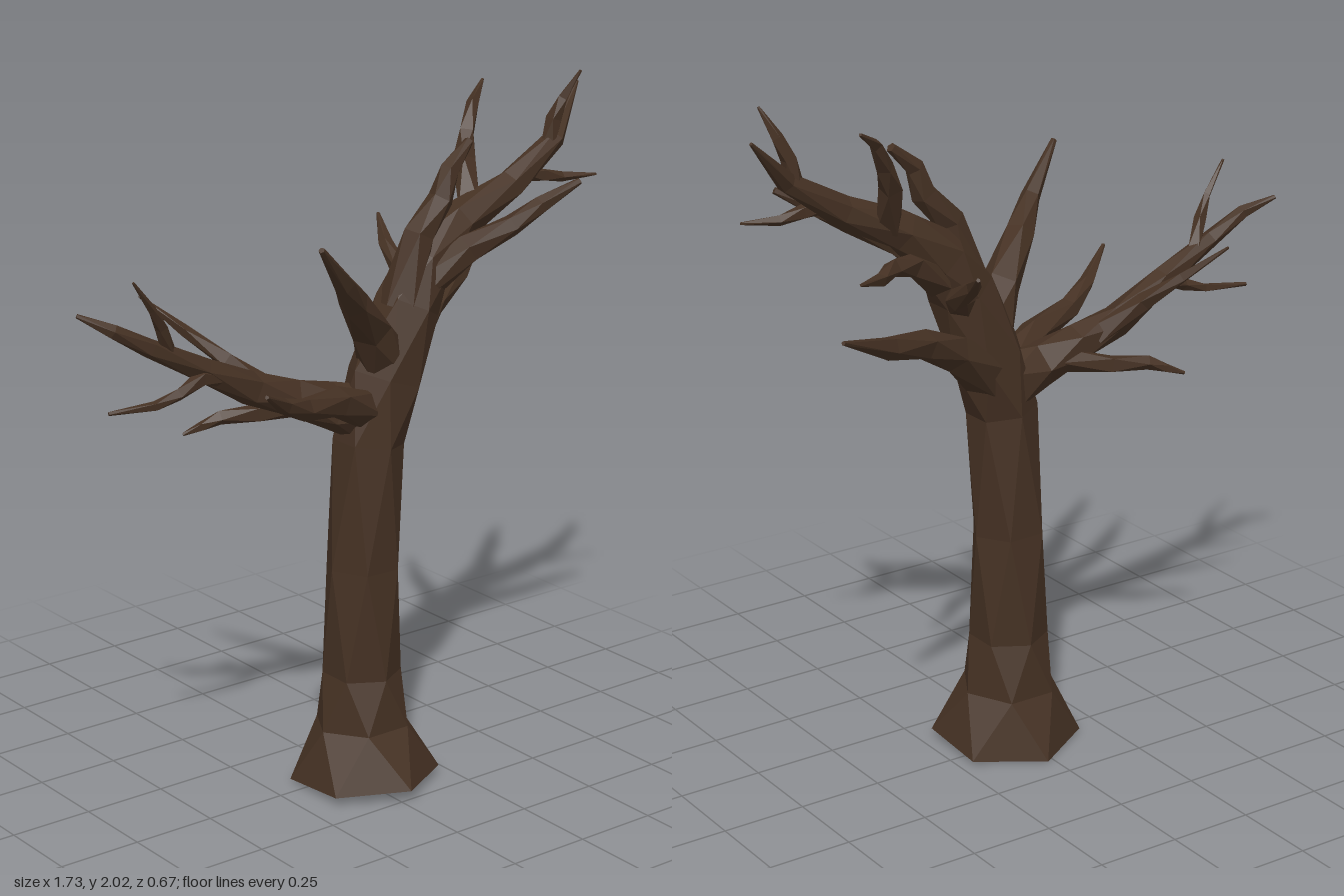
import * as THREE from 'three';

const bark = new THREE.MeshStandardMaterial({ color: 0x453123, flatShading: true, side: THREE.DoubleSide });

// Tapering limb through points [x, y, z, radius]; each ring is turned half a
// step against the one before, so the sides form a diamond pattern.
function limb(name, points, sides) {
  const centres = points.map(p => new THREE.Vector3(p[0], p[1], p[2]));
  const last = points.length - 1;
  const pos = [], index = [];
  let v = new THREE.Vector3(0, 0, 1);
  centres.forEach((c, i) => {
    const t = centres[Math.min(i + 1, last)].clone().sub(centres[Math.max(i - 1, 0)]).normalize();
    v = v.clone().addScaledVector(t, -v.dot(t)).normalize();
    const u = new THREE.Vector3().crossVectors(v, t);
    for (let j = 0; j < sides; j++) {
      const a = ((j + i / 2) / sides) * Math.PI * 2;
      const p = c.clone()
        .addScaledVector(u, Math.sin(a) * -points[i][3])
        .addScaledVector(v, Math.cos(a) * points[i][3]);
      pos.push(p.x, p.y, p.z);
    }
  });
  for (let i = 0; i < last; i++) {
    for (let j = 0; j < sides; j++) {
      const k = (j + 1) % sides;
      const a = i * sides + j, b = i * sides + k;
      const c = a + sides, d = b + sides;
      index.push(a, b, c, c, b, d);
    }
  }
  // closed tip
  for (let j = 1; j < sides - 1; j++) index.push(last * sides, last * sides + j, last * sides + j + 1);
  const indexed = new THREE.BufferGeometry();
  indexed.setAttribute('position', new THREE.Float32BufferAttribute(pos, 3));
  indexed.setIndex(index);
  const geometry = indexed.toNonIndexed();
  geometry.computeVertexNormals();
  const mesh = new THREE.Mesh(geometry, bark);
  mesh.name = name;
  return mesh;
}

export function createModel() {
  const tree = new THREE.Group();
  tree.name = 'bareTree';

  // Trunk with flared foot, open below, running on into the main left limb
  tree.add(limb('trunk', [
    [0.02, 0, 0.05, 0.22], [0.02, 0.16, 0.037, 0.143], [0.02, 0.32, 0.035, 0.115],
    [0.02, 0.65, 0.037, 0.11], [0.035, 1.02, 0.045, 0.103], [0.09, 1.2, 0.045, 0.11],
    [0.17, 1.4, 0.05, 0.095], [0.24, 1.51, 0.04, 0.08], [0.37, 1.61, 0.035, 0.06],
    [0.55, 1.69, 0.045, 0.045], [0.72, 1.8, 0.04, 0.03], [0.86, 1.94, -0.025, 0.005],
  ], 6));

  // Large branches growing from the trunk
  const branches = {
    rightLimb: [[0.04, 1.1, 0.03, 0.09], [-0.08, 1.14, 0.02, 0.07], [-0.2, 1.185, 0, 0.055],
      [-0.33, 1.23, -0.01, 0.05], [-0.5, 1.32, 0, 0.036], [-0.67, 1.41, 0, 0.027],
      [-0.78, 1.475, -0.01, 0.02], [-0.86, 1.52, -0.06, 0.006]],
    frontUpperBranch: [[0.09, 1.24, 0.05, 0.08], [0, 1.37, 0.1, 0.06], [-0.12, 1.48, 0.18, 0.043],
      [-0.2, 1.56, 0.24, 0.03], [-0.33, 1.69, 0.31, 0.009]],
    frontLowerBranch: [[0.02, 1.12, 0.06, 0.06], [-0.14, 1.19, 0.13, 0.045], [-0.3, 1.215, 0.19, 0.033],
      [-0.41, 1.26, 0.25, 0.023], [-0.53, 1.33, 0.335, 0.006]],
    backLeftBranch: [[0.1, 1.14, 0.02, 0.075], [0.26, 1.26, -0.05, 0.055], [0.4, 1.33, -0.12, 0.043],
      [0.56, 1.375, -0.2, 0.033], [0.78, 1.47, -0.33, 0.006]],
    crownBranch: [[0.13, 1.4, 0.06, 0.065], [0.2, 1.6, 0.06, 0.045], [0.28, 1.69, 0.06, 0.038],
      [0.31, 1.77, 0.06, 0.028], [0.39, 1.84, 0.05, 0.014]],
    frontLeftBranch: [[0.18, 1.43, 0.06, 0.055], [0.33, 1.55, 0.12, 0.042], [0.45, 1.61, 0.17, 0.032],
      [0.54, 1.66, 0.19, 0.025], [0.65, 1.72, 0.23, 0.01]],
    backBranch: [[0.2, 1.38, 0, 0.045], [0.28, 1.43, -0.1, 0.032], [0.305, 1.5, -0.22, 0.022],
      [0.36, 1.56, -0.325, 0.006]],
  };

  // Thin twigs growing from the limbs
  const twigs = {
    rightTipTwig: [[-0.61, 1.39, 0, 0.022], [-0.65, 1.47, 0.025, 0.018], [-0.69, 1.53, 0.045, 0.012],
      [-0.76, 1.62, 0.062, 0.004]],
    rightLowTwig: [[-0.41, 1.28, 0, 0.03], [-0.52, 1.305, 0.02, 0.023], [-0.6, 1.275, 0.03, 0.018],
      [-0.67, 1.255, 0.02, 0.014], [-0.8, 1.25, -0.01, 0.006]],
    rightBackTwig: [[-0.25, 1.2, -0.02, 0.038], [-0.36, 1.3, -0.09, 0.026], [-0.44, 1.38, -0.17, 0.017],
      [-0.53, 1.475, -0.26, 0.004]],
    rightDroopingTwig: [[-0.12, 1.15, -0.01, 0.036], [-0.26, 1.13, -0.08, 0.027], [-0.36, 1.125, -0.12, 0.021],
      [-0.41, 1.105, -0.14, 0.014], [-0.46, 1.085, -0.16, 0.005]],
    leftBackTwig: [[0.27, 1.45, 0, 0.045], [0.38, 1.53, -0.04, 0.034], [0.47, 1.55, -0.08, 0.027],
      [0.55, 1.55, -0.15, 0.019], [0.65, 1.57, -0.21, 0.005]],
    leftUpperTwig: [[0.42, 1.63, 0.02, 0.042], [0.455, 1.76, -0.05, 0.033], [0.49, 1.83, -0.08, 0.026],
      [0.535, 1.905, -0.11, 0.018], [0.61, 1.955, -0.155, 0.005]],
    leftTipTwig: [[0.69, 1.77, 0.04, 0.026], [0.71, 1.86, 0.045, 0.023], [0.735, 1.92, 0.055, 0.017],
      [0.77, 2, 0.09, 0.004]],
    leftLowTwig: [[0.58, 1.72, 0.045, 0.028], [0.66, 1.705, 0.06, 0.021], [0.73, 1.69, 0.065, 0.015],
      [0.83, 1.69, 0.1, 0.004]],
  };
  for (const [name, points] of Object.entries(branches)) tree.add(limb(name, points, 5));
  for (const [name, points] of Object.entries(twigs)) tree.add(limb(name, points, 4));
  return tree;
}
